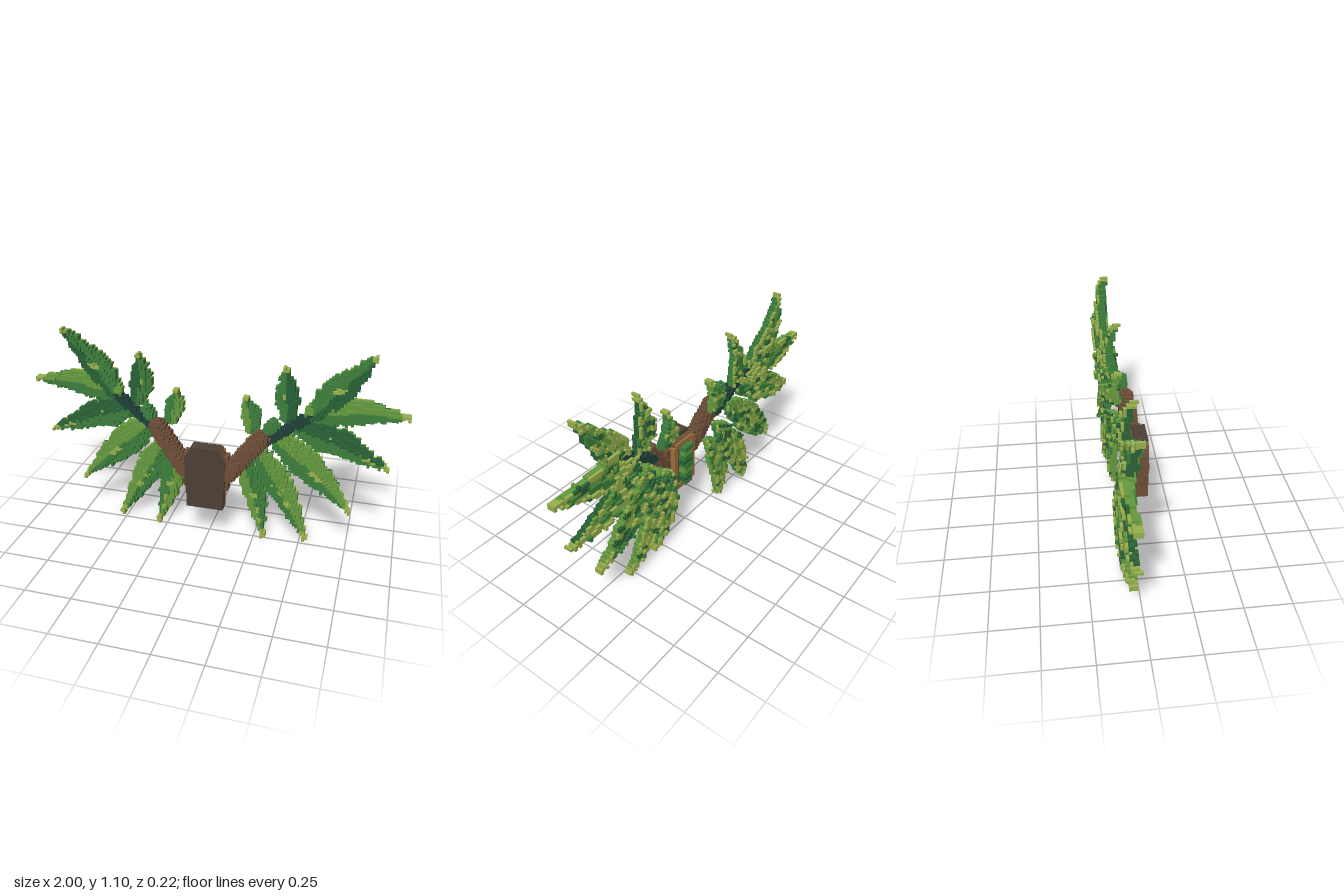
import * as THREE from 'three';

const V = 1 / 70; // block size

const colours = {
  lime: 0x97b04e, lightLeaf: 0x659a3e, midLeaf: 0x3d7f3c, darkLeaf: 0x2a6236, stemGreen: 0x1f4038,
  bark: 0x6e4f38, darkWood: 0x4d4036, tanWood: 0xa0703a,
};
const mats = {};
for (const name in colours) {
  mats[name] = new THREE.MeshStandardMaterial({ color: colours[name] });
  mats[name].name = name;
}

// repeatable noise per cell, 0..1
function noise(a, b, c = 0) {
  const s = Math.sin(a * 12.9898 + b * 78.233 + c * 37.719) * 43758.5453;
  return s - Math.floor(s);
}

const axes = [[1, 0, 0], [0, 1, 0], [0, 0, 1]];

// Turns a map of blocks into one mesh per colour, keeping only exposed faces
function blocks(name, cells, side) {
  const group = new THREE.Group();
  group.name = name;
  const mapped = new Map();
  for (const [i, j, k, m] of cells) mapped.set([side > 0 ? i : -i - 1, j, k].join(), m);
  const lists = {};
  for (const [key, m] of mapped) {
    const p = key.split(',').map(Number);
    const list = lists[m] ??= [];
    for (let a = 0; a < 3; a++) for (const d of [1, -1]) {
      const n = axes[a].map((v) => v * d);
      if (mapped.has(p.map((v, q) => v + n[q]).join())) continue;
      const u = axes[(a + 1) % 3], w = axes[(a + 2) % 3];
      const o = p.map((v, q) => v + (d > 0 ? n[q] : 0));
      const corner = (s, t) => o.map((v, q) => (v + u[q] * s + w[q] * t) * V);
      const c = [corner(0, 0), corner(1, 0), corner(1, 1), corner(0, 1)];
      if (d < 0) c.reverse();
      for (const q of [0, 1, 2, 0, 2, 3]) list.push(...c[q]);
    }
  }
  for (const m in lists) {
    const g = new THREE.BufferGeometry();
    g.setAttribute('position', new THREE.Float32BufferAttribute(lists[m], 3));
    g.computeVertexNormals();
    const mesh = new THREE.Mesh(g, mats[m]);
    mesh.name = `${name} ${m}`;
    group.add(mesh);
  }
  return group;
}

// Leaf: pointed outline with a raised midrib and a backward bow
function leafCells({ base, tip, w, zb = -0.02, zt, bow = 0.035, left, right }) {
  const cells = [];
  const dx = tip[0] - base[0], dy = tip[1] - base[1], len = Math.hypot(dx, dy);
  const lo = (q) => Math.floor((Math.min(base[q], tip[q]) - 0.1) / V);
  const hi = (q) => Math.ceil((Math.max(base[q], tip[q]) + 0.1) / V);
  for (let i = lo(0); i < hi(0); i++) for (let j = Math.max(0, lo(1)); j < hi(1); j++) {
    const x = (i + 0.5) * V - base[0], y = (j + 0.5) * V - base[1];
    const t = (x * dx + y * dy) / len / len;
    if (t < 0 || t > 1) continue;
    const s = (dx * y - dy * x) / len; // positive on the leaf's left
    const width = Math.max(0.011, w * Math.min(1, 0.4 + 1.9 * t) * (1 - t ** 2.2))
      + (noise(i, j) - 0.5) * 0.016;
    const r = Math.abs(s) / width;
    if (r > 1) continue;
    const z = zb * (1 - t) + zt * t - bow * 4 * t * (1 - t) - 0.035 * r * (w / 0.08) * (1 - t * 0.6) + 0.018;
    const k = Math.round(z / V);
    const patch = noise(Math.floor(i / 3), Math.floor(j / 2), 5);
    let front = s > 0 ? left : right;
    if (t > 0.92 || (r < 0.25 && patch > 0.8 && t > 0.35)) front = 'lime';
    let back = s > 0 ? 'lightLeaf' : 'midLeaf';
    if (patch > 0.72 - 0.25 * r || t > 0.85) back = 'lime';
    else if (patch < 0.15) back = 'darkLeaf';
    cells.push([i, j, k, front], [i, j, k - 1, t > 0.92 ? 'lime' : front], [i, j, k - 2, back]);
  }
  return cells;
}

// Rounded rod of blocks between two points
function rodCells(a, b, r, mat) {
  const cells = [];
  const A = new THREE.Vector3(...a), B = new THREE.Vector3(...b);
  const line = new THREE.Line3(A, B), P = new THREE.Vector3(), Q = new THREE.Vector3();
  const box = new THREE.Box3().setFromPoints([A, B]).expandByScalar(r);
  const lo = box.min.divideScalar(V).floor(), hi = box.max.divideScalar(V).ceil();
  for (let i = lo.x; i < hi.x; i++) for (let j = lo.y; j < hi.y; j++) for (let k = lo.z; k < hi.z; k++) {
    P.set(i + 0.5, j + 0.5, k + 0.5).multiplyScalar(V);
    line.closestPointToPoint(P, true, Q);
    if (P.distanceTo(Q) < r) cells.push([i, j, k, mat]);
  }
  return cells;
}

const leaves = {
  topLeaf: { base: [0.52, 0.75], tip: [0.82, 1.10], w: 0.082, zt: -0.04, left: 'midLeaf', right: 'darkLeaf' },
  outerLeaf: { base: [0.48, 0.77], tip: [1.0, 0.79], w: 0.085, zt: -0.065, left: 'lightLeaf', right: 'midLeaf' },
  upperSideLeaf: { base: [0.43, 0.69], tip: [0.93, 0.49], w: 0.09, zt: -0.06, left: 'darkLeaf', right: 'midLeaf' },
  lowerSideLeaf: { base: [0.34, 0.61], tip: [0.76, 0.21], w: 0.092, zt: -0.05, left: 'lightLeaf', right: 'midLeaf' },
  lowLeaf: { base: [0.25, 0.52], tip: [0.53, 0.01], w: 0.084, zt: -0.04, left: 'lightLeaf', right: 'midLeaf' },
  innerLowLeaf: { base: [0.18, 0.46], tip: [0.3, 0], w: 0.074, zt: -0.018, left: 'midLeaf', right: 'lightLeaf' },
  uprightLeaf: { base: [0.4, 0.71], tip: [0.38, 1.01], w: 0.068, zt: -0.02, left: 'midLeaf', right: 'darkLeaf' },
  innerUprightLeaf: { base: [0.22, 0.63], tip: [0.18, 0.83], w: 0.056, zt: -0.02, left: 'lightLeaf', right: 'midLeaf' },
};

function box(name, mat, w, h, d, x, y, z) {
  const m = new THREE.Mesh(new THREE.BoxGeometry(w, h, d), mats[mat]);
  m.name = name;
  m.position.set(x, y, z);
  return m;
}

// Central shield-like trunk with a framed mossy back
function trunk() {
  const g = new THREE.Group();
  g.name = 'trunk';
  const half = [[0.1, 0.21], [0.1, 0.29], [0.108, 0.36], [0.108, 0.5], [0.075, 0.565]];
  const pts = [...half, ...half.map(([x, y]) => [-x, y]).reverse()].map((p) => new THREE.Vector2(...p));
  const body = new THREE.Mesh(
    new THREE.ExtrudeGeometry(new THREE.Shape(pts), { depth: 0.07, bevelEnabled: false }),
    [mats.darkWood, mats.bark]);
  body.name = 'trunk body';
  body.position.z = 0.04;
  g.add(body,
    box('trunk top', 'darkWood', 0.15, 0.004, 0.07, 0, 0.565, 0.075),
    box('trunk core', 'bark', 0.16, 0.29, 0.03, 0, 0.4, 0.026),
    box('frame top', 'tanWood', 0.15, 0.028, 0.04, 0, 0.53, 0.02),
    box('frame bottom', 'tanWood', 0.15, 0.028, 0.04, 0, 0.26, 0.02));
  for (const s of [1, -1]) g.add(
    box('frame side', 'tanWood', 0.028, 0.27, 0.04, s * 0.075, 0.395, 0.018),
    box('trunk cheek', 'bark', 0.03, 0.2, 0.06, s * 0.105, 0.42, 0.055));
  // moss column on the back
  const greens = ['midLeaf', 'darkLeaf', 'midLeaf', 'lightLeaf'];
  for (let i = 0; i < 9; i++) g.add(box('moss', greens[i % 4], 0.055 + 0.02 * noise(i, 3), 0.029,
    0.035 + 0.02 * noise(i, 7), 0.012 * (noise(i, 1) - 0.5), 0.28 + i * 0.028, -0.006));
  return g;
}

export function createModel() {
  const model = new THREE.Group();
  model.name = 'leafWings';
  model.add(trunk());
  for (const side of [1, -1]) {
    const wing = new THREE.Group();
    wing.name = side > 0 ? 'leftWing' : 'rightWing';
    wing.add(
      blocks('branch', rodCells([0.12, 0.42, 0.06], [0.275, 0.62, 0.025], 0.047, 'bark'), side),
      blocks('stem', rodCells([0.27, 0.58, 0.0], [0.52, 0.76, -0.03], 0.027, 'stemGreen'), side),
      blocks('leafBud', rodCells([0.32, 0.68, 0.01], [0.335, 0.705, 0.01], 0.032, 'midLeaf'), side));
    for (const name in leaves) wing.add(blocks(name, leafCells(leaves[name]), side));
    model.add(wing);
  }
  return model;
}
